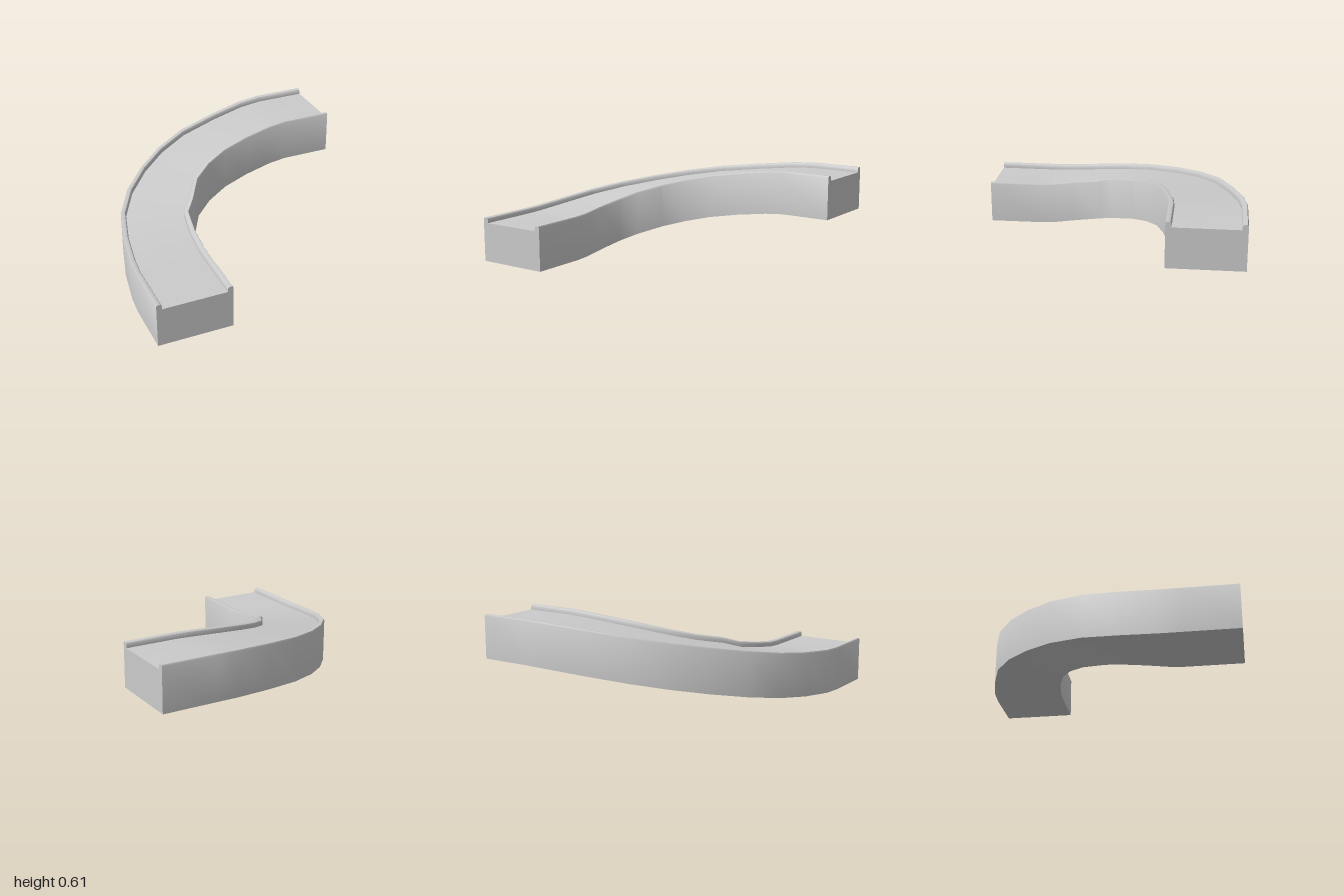
import * as THREE from 'three';
import { toCreasedNormals } from 'three/addons/utils/BufferGeometryUtils.js';

// Stations along the bend: outer edge x, z, inner edge x, z, height of the underside
const stations = [
  [-1, 1, -0.465, 1, 0],
  [-1, 0.6, -0.465, 0.6, 0],
  [-0.99, 0.46, -0.465, 0.5, 0.005],
  [-0.95, 0.2, -0.46, 0.33, 0.03],
  [-0.88, -0.06, -0.43, 0.13, 0.065],
  [-0.75, -0.295, -0.35, 0.025, 0.105],
  [-0.57, -0.5, -0.245, -0.155, 0.145],
  [-0.37, -0.67, -0.107, -0.27, 0.183],
  [-0.13, -0.81, 0.06, -0.355, 0.22],
  [0.17, -0.91, 0.27, -0.415, 0.253],
  [0.445, -0.98, 0.49, -0.457, 0.28],
  [0.62, -1, 0.63, -0.47, 0.29],
  [1, -1, 1, -0.47, 0.29],
];

// Cross-section of a channel with two rounded lips; u runs 0..1 from outer to inner edge
function channelProfile() {
  const lip = [[0.075, 0.285], [0.075, 0.308], [0.062, 0.319], [0.04, 0.323], [0.012, 0.323], [0, 0.312]];
  const innerLip = lip.map(([u, y]) => [1 - u, y]).reverse();
  return [[0, 0], [1, 0], ...innerLip, ...lip].map(([u, y]) => new THREE.Vector2(u, y));
}

// Sweep the cross-section through the stations and close both ends
function sweep(profile) {
  const n = profile.length;
  const positions = [];
  const index = [];
  for (const [ox, oz, ix, iz, base] of stations) {
    for (const p of profile) {
      positions.push(ox + (ix - ox) * p.x, base + p.y, oz + (iz - oz) * p.x);
    }
  }
  const last = stations.length - 1;
  for (let i = 0; i < last; i++) {
    for (let j = 0; j < n; j++) {
      const a = i * n + j;
      const b = i * n + ((j + 1) % n);
      index.push(a, a + n, b, b, a + n, b + n);
    }
  }
  for (const [a, b, c] of THREE.ShapeUtils.triangulateShape(profile, [])) {
    index.push(a, b, c);
    index.push(last * n + a, last * n + c, last * n + b);
  }
  const geometry = new THREE.BufferGeometry();
  geometry.setAttribute('position', new THREE.Float32BufferAttribute(positions, 3));
  geometry.setIndex(index);
  return toCreasedNormals(geometry, 0.6);
}

export function createModel() {
  const group = new THREE.Group();
  group.name = 'curvedRamp';
  const material = new THREE.MeshStandardMaterial({ color: 0xcccccc });
  const channel = new THREE.Mesh(sweep(channelProfile()), material);
  channel.name = 'trackChannel';
  group.add(channel);
  return group;
}
